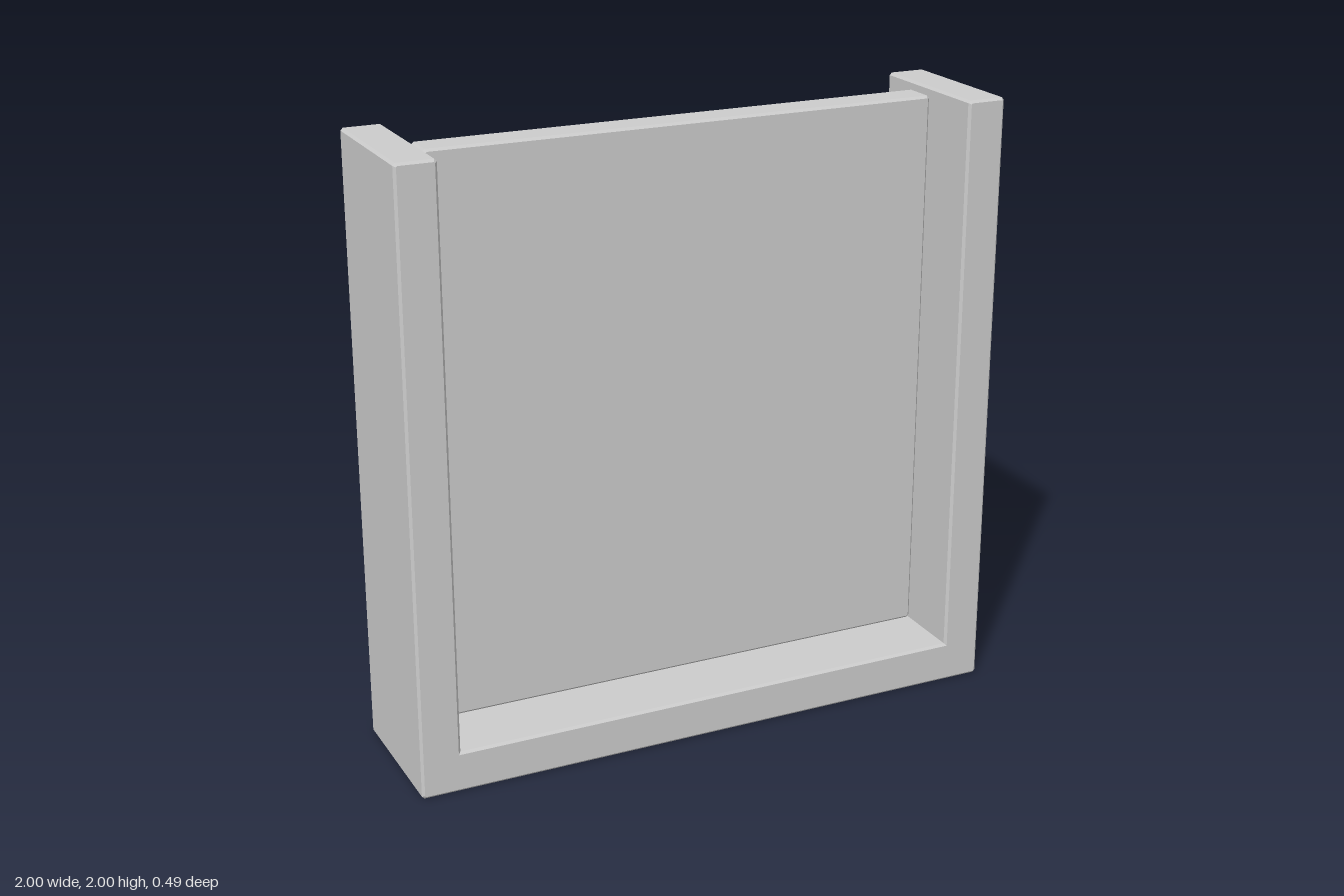
import * as THREE from 'three';

const BEVEL = 0.008;
const material = new THREE.MeshStandardMaterial({ color: 0xcccccc });

// Outline whose corners are cut by c (c = 0 leaves a corner sharp)
function outline(corners, Type = THREE.Shape) {
  const points = [];
  corners.forEach(([x, y, c = BEVEL], i) => {
    const here = new THREE.Vector2(x, y);
    if (c === 0) { points.push(here); return; }
    for (const step of [-1, 1]) {
      const [nx, ny] = corners[(i + step + corners.length) % corners.length];
      const toward = new THREE.Vector2(nx, ny).sub(here).setLength(c);
      points.push(here.clone().add(toward));
    }
  });
  return new Type(points);
}

const rect = (w, y0, y1, c) => [[-w, y0, c], [w, y0, c], [w, y1, c], [-w, y1, c]];

// Slab between two z planes with chamfered edges
function slab(name, shape, z0, z1) {
  const geometry = new THREE.ExtrudeGeometry(shape, {
    depth: z1 - z0 - 2 * BEVEL,
    bevelEnabled: true,
    bevelThickness: BEVEL,
    bevelSize: BEVEL,
    bevelOffset: -BEVEL,
    bevelSegments: 1,
  });
  geometry.translate(0, 0, z0 + BEVEL);
  const mesh = new THREE.Mesh(geometry, material);
  mesh.name = name;
  return mesh;
}

export function createModel() {
  const model = new THREE.Group();
  model.name = 'framedPanel';

  // U-shaped surround, open at the top
  const inner = 0.87, floor = 0.135;
  const surround = outline([
    [-1, 0], [1, 0], [1, 2], [inner, 2],
    [inner, floor, 0], [-inner, floor, 0], [-inner, 2], [-1, 2],
  ]);
  model.add(slab('surround', surround, -0.247, 0.247));

  // Panel: plain front, with two recesses in the back
  const panel = new THREE.Group();
  panel.name = 'panel';
  const edge = rect(0.847, 0.157, 1.982);
  panel.add(slab('panelFront', outline(edge), -0.027, 0.053));

  const back = outline(edge);
  for (const [y0, y1] of [[0.443, 0.932], [1.163, 1.645]]) {
    back.holes.push(outline(rect(0.77, y0, y1, 0), THREE.Path));
  }
  // The two layers overlap so that no seam shows around the edge
  panel.add(slab('panelBack', back, -0.06, 0));
  model.add(panel);

  return model;
}
